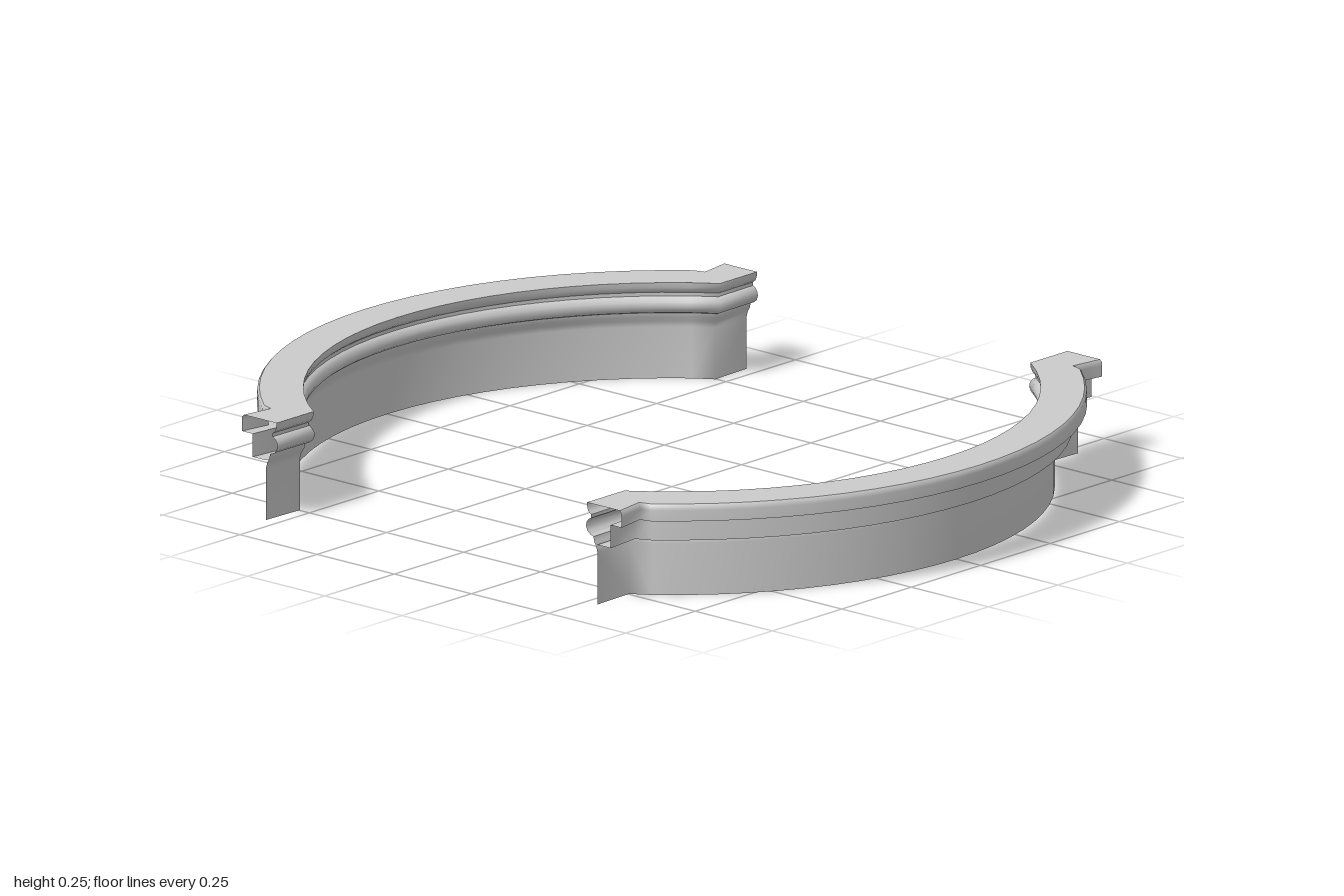
import * as THREE from 'three';

const INNER_R = 0.885, END_X = 0.5, END_Z = 0.865, ARC_STEPS = 24;

// Plan path of one rail: straight stub, arc, straight stub; each station has a position and outward normal
function makePath() {
  const a = Math.acos(END_X / INNER_R), pts = [];
  const at = (x, z, t) => pts.push({ x, z, nx: Math.cos(t), nz: Math.sin(t) });
  at(END_X, END_Z, 0);
  for (let i = 0; i <= ARC_STEPS; i++) {
    const t = a - (2 * a * i) / ARC_STEPS;
    // corner stations use the normal halfway between stub and arc
    const corner = i === 0 || i === ARC_STEPS;
    at(INNER_R * Math.cos(t), INNER_R * Math.sin(t), corner ? t / 2 : t);
  }
  at(END_X, -END_Z, 0);
  return pts;
}

// Sweep an open strip of [offset, height] points along the path
function sweep(path, profile) {
  const pos = [], idx = [], n = profile.length;
  path.forEach((p, i) => {
    profile.forEach(([d, y], j) => {
      pos.push(p.x + p.nx * d, y, p.z + p.nz * d);
      if (i < path.length - 1 && j < n - 1) {
        const a = i * n + j, b = a + n;
        idx.push(a, a + 1, b, b, a + 1, b + 1);
      }
    });
  });
  const g = new THREE.BufferGeometry();
  g.setAttribute('position', new THREE.Float32BufferAttribute(pos, 3));
  g.setIndex(idx);
  g.computeVertexNormals();
  return g;
}

// Cross-section, split into strips wherever an edge is sharp
const STRIPS = {
  wall: [[0.037, 0], [0.037, 0.13], [0.033, 0.145], [0.026, 0.157], [0.024, 0.168]],
  innerLedge: [[0.024, 0.168], [0.013, 0.172]],
  innerBead: [[0.013, 0.172], [0.004, 0.179], [0, 0.19], [0.002, 0.201], [0.009, 0.21], [0.016, 0.213]],
  innerNeck: [[0.016, 0.213], [0.016, 0.222]],
  innerLip: [[0.016, 0.222], [0.008, 0.228], [0.004, 0.238], [0.003, 0.25]],
  top: [[0.003, 0.25], [0.109, 0.25]],
  flangeEdge: [[0.109, 0.25], [0.114, 0.244], [0.115, 0.235], [0.115, 0.208]],
  flangeUnderside: [[0.115, 0.208], [0.08, 0.208]],
  outerStep: [[0.08, 0.208], [0.08, 0.15]],
  stepUnderside: [[0.08, 0.15], [0.037, 0.15]],
};

export function createModel() {
  const model = new THREE.Group();
  const material = new THREE.MeshStandardMaterial({ color: 0xcccccc, side: THREE.DoubleSide });
  const path = makePath();
  const geometries = Object.entries(STRIPS).map(([name, profile]) => [name, sweep(path, profile)]);

  // Two identical rails facing each other
  for (const [railName, turn] of [['leftRail', 0], ['rightRail', Math.PI]]) {
    const rail = new THREE.Group();
    rail.name = railName;
    rail.rotation.y = turn;
    for (const [name, geometry] of geometries) {
      const mesh = new THREE.Mesh(geometry, material);
      mesh.name = name;
      rail.add(mesh);
    }
    model.add(rail);
  }
  return model;
}
